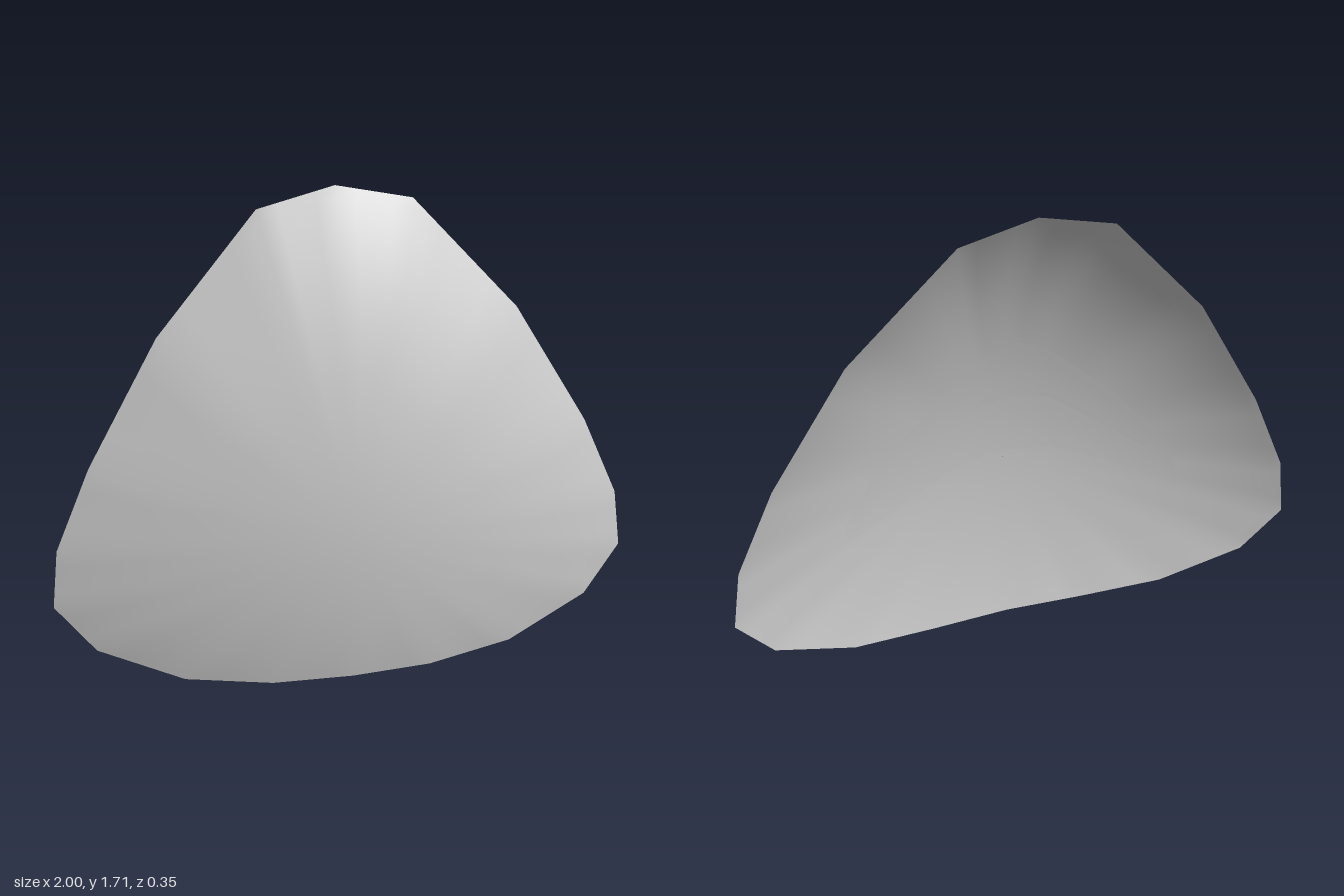
import * as THREE from 'three';

// Half outlines from top centre to bottom centre
const RIM = [[0, 1.71], [0.25, 1.65], [0.59, 1.27], [0.84, 0.84], [0.97, 0.54],
  [1, 0.32], [0.87, 0.15], [0.58, 0.03], [0.28, 0], [0, 0]];
const PANEL = [[0, 1.18], [0.1, 1.14], [0.38, 0.88], [0.54, 0.68], [0.595, 0.57],
  [0.585, 0.53], [0.55, 0.52], [0.35, 0.61], [0.15, 0.7], [0, 0.715]];
const STEPS = 4;

// Smooth dome: centre line and a sideways bend that grows towards the top
function domeDepth(x, y) {
  const u = y - 0.5;
  const centre = u < 0 ? 0.178 - 0.152 * u * u : 0.178 - 0.19 * u ** 2 - 0.033 * u ** 4;
  return centre - (0.18 + 0.155 * y * y) * x * x;
}

// Shallow arrow-shaped groove along the upper edge of the panel
function grooveDepth(x, y) {
  const a = Math.abs(x);
  const across = y + 1.1 * Math.max(a - 0.08, 0) - 1.14;
  const fade = 1 - THREE.MathUtils.smoothstep(a, 0.35, 0.62);
  return 0.034 * fade * Math.exp(-((across / (across > 0 ? 0.09 : 0.06)) ** 2));
}

// Mirror a half outline into a closed loop with straight, subdivided sides
function fullLoop(half) {
  const corners = [...half, ...half.slice(1, -1).reverse().map(([x, y]) => [-x, y])]
    .map(([x, y]) => new THREE.Vector3(x, y, domeDepth(x, y)));
  return corners.flatMap((corner, i) => Array.from({ length: STEPS }, (_, k) =>
    corner.clone().lerp(corners[(i + 1) % corners.length], k / STEPS)));
}

// Surface through a list of closed loops of [x, y, z] points
function loft(name, loops) {
  const n = loops[0].length;
  const index = [];
  for (let r = 0; r < loops.length - 1; r++) {
    for (let i = 0; i < n; i++) {
      const a = r * n + i, b = r * n + (i + 1) % n;
      index.push(a, a + n, b, b, a + n, b + n);
    }
  }
  const geometry = new THREE.BufferGeometry();
  geometry.setAttribute('position', new THREE.Float32BufferAttribute(loops.flat(2), 3));
  geometry.setIndex(index);
  geometry.computeVertexNormals();
  const mesh = new THREE.Mesh(geometry,
    new THREE.MeshStandardMaterial({ color: 0xcccccc, side: THREE.DoubleSide }));
  mesh.name = name;
  return mesh;
}

export function createModel() {
  const group = new THREE.Group();
  group.name = 'curvedPlate';

  // Thin domed shell: rings from the rim to the middle, rim straight between its corners
  const rim = fullLoop(RIM);
  const rings = 36;
  const shell = loft('shell', Array.from({ length: rings + 1 }, (_, r) => {
    const s = Math.max(1 - r / rings, 0.001);
    return rim.map(p => {
      const x = p.x * s, y = 0.65 + (p.y - 0.65) * s;
      return [x, y, domeDepth(x, y) + (p.z - domeDepth(p.x, p.y)) * s ** 3];
    });
  }));
  // Press in the groove while keeping the soft shading of the dome
  const position = shell.geometry.attributes.position;
  for (let i = 0; i < position.count; i++) {
    position.setZ(i, position.getZ(i) - grooveDepth(position.getX(i), position.getY(i)));
  }
  group.add(shell);

  // Boomerang-shaped panel just behind the shell: rings from its middle line to its edge
  const edge = fullLoop(PANEL);
  const n = edge.length;
  group.add(loft('backPanel', Array.from({ length: 6 }, (_, r) => edge.map((p, i) => {
    const opposite = edge[(n * 1.5 - i) % n];
    const { x, y } = p.clone().lerp(opposite, 0.5 * r / 5);
    return [x, y, domeDepth(x, y) - 0.05];
  }))));

  return group;
}
